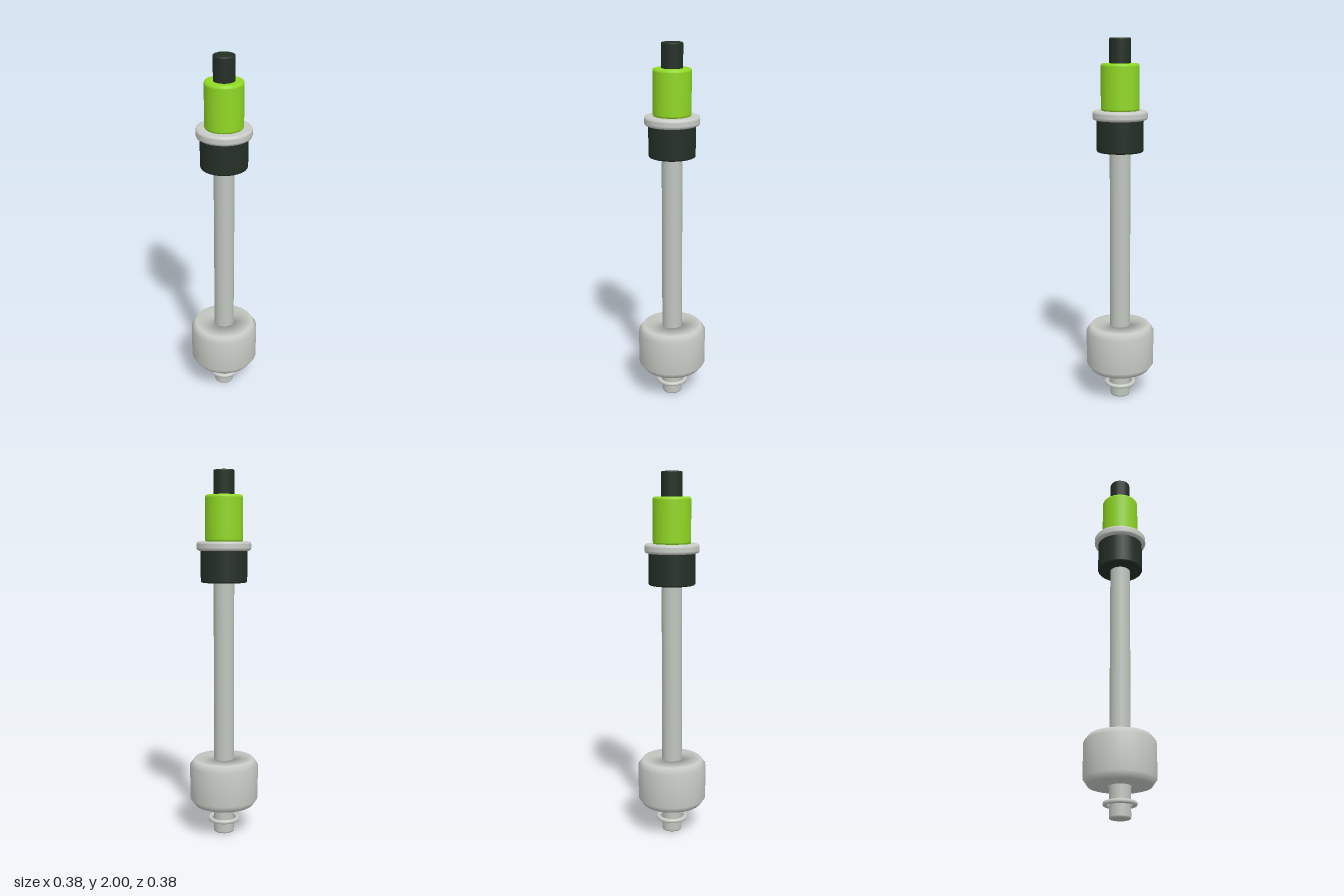
import * as THREE from 'three';

const mat = (name, color) => {
  const m = new THREE.MeshStandardMaterial({ color });
  m.name = name;
  return m;
};

export function createModel() {
  const shaftGrey = mat('shaft grey', 0xbfc6be);
  const paleGrey = mat('pale grey', 0xc8ccc6);
  const green = mat('lime green', 0x90d824);
  const dark = mat('dark green black', 0x243026);

  const model = new THREE.Group();
  model.name = 'floatSwitch';

  const add = (name, geometry, material) => {
    const mesh = new THREE.Mesh(geometry, material);
    mesh.name = name;
    model.add(mesh);
    return mesh;
  };
  const lathe = (name, points, segments, material) =>
    add(name, new THREE.LatheGeometry(points.map(([r, y]) => new THREE.Vector2(r, y)), segments), material);

  // Solid turned part with bevelled rims and flat caps
  const turned = (name, radius, y0, y1, bevel, segments, material) => lathe(name, [
    [0, y0], [radius - bevel, y0], [radius - bevel, y0],
    [radius - bevel * 0.3, y0 + bevel * 0.3], [radius, y0 + bevel], [radius, y0 + bevel * 1.2],
    [radius, y1 - bevel * 1.2], [radius, y1 - bevel], [radius - bevel * 0.3, y1 - bevel * 0.3],
    [radius - bevel, y1], [radius - bevel, y1], [0, y1],
  ], segments, material);

  // Long guide rod
  turned('stem', 0.056, 0, 1.45, 0.008, 20, shaftGrey);

  // Retaining ring near the foot of the rod
  const ring = add('retainingRing', new THREE.TorusGeometry(0.077, 0.012, 8, 28), paleGrey);
  ring.rotation.x = Math.PI / 2;
  ring.position.y = 0.076;

  // Sliding float with a bore around the rod and soft rims
  lathe('float', [
    [0.06, 0.165], [0.165, 0.165], [0.19, 0.2], [0.19, 0.39],
    [0.165, 0.425], [0.06, 0.425], [0.06, 0.165],
  ], 24, paleGrey);

  // Mounting head: nut, flange, body and cable
  turned('nut', 0.126, 1.405, 1.585, 0.008, 28, dark);
  turned('flange', 0.147, 1.575, 1.625, 0.012, 32, paleGrey);
  turned('body', 0.102, 1.62, 1.87, 0.012, 32, green);
  turned('cable', 0.057, 1.86, 2, 0.006, 14, dark);

  return model;
}
